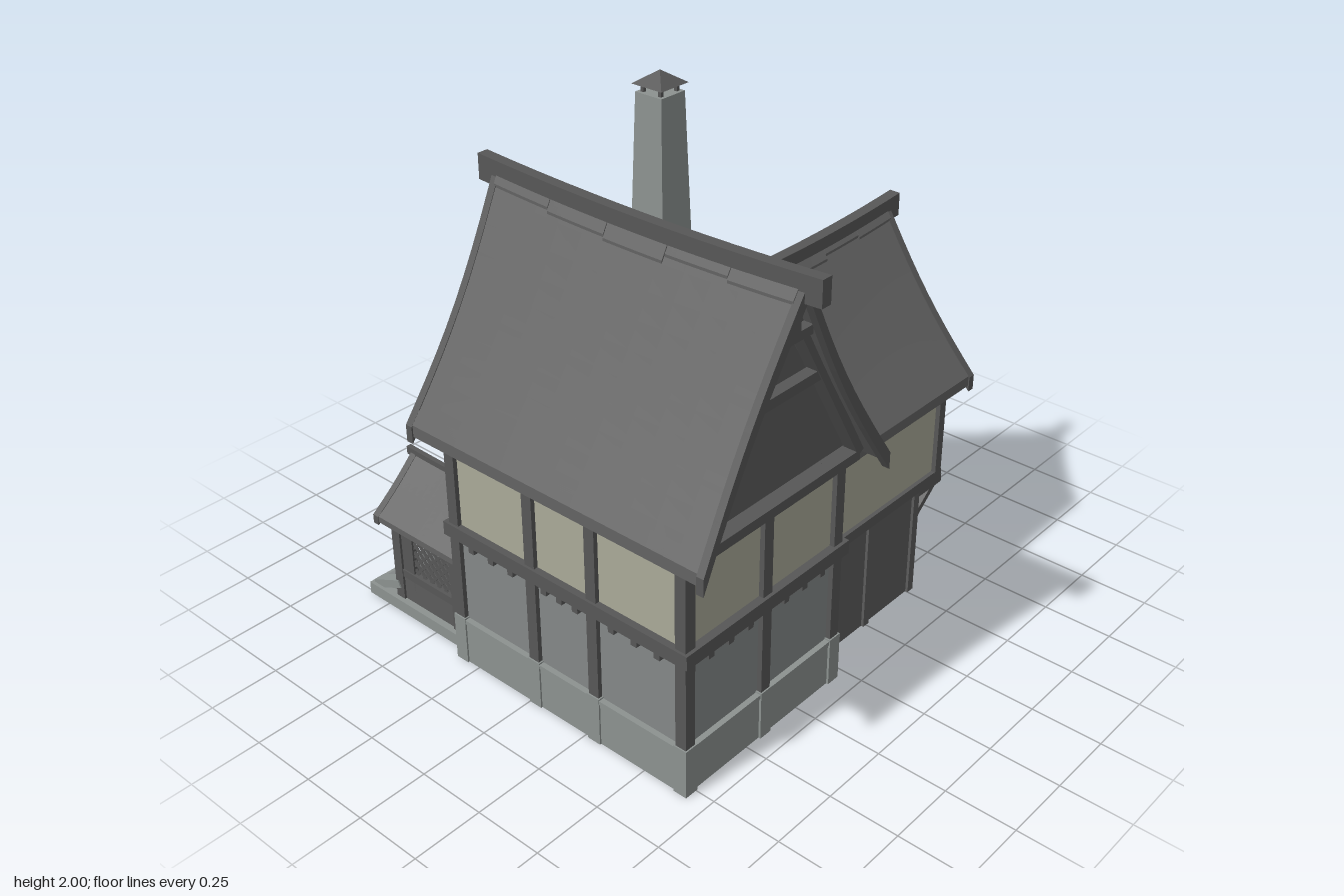
import * as THREE from 'three';

const flat = (name, color) => Object.assign(new THREE.MeshStandardMaterial({ color }), { name });
const M = {
  roof: flat('roof shingle', 0x636363), timber: flat('timber', 0x575757), plank: flat('plank', 0x5c5c5c),
  plaster: flat('plaster', 0xaaaa98), stone: flat('stone', 0x848888), plinth: flat('plinth stone', 0x8c9290),
  glass: flat('window glass', 0x525454),
};

function add(parent, name, geometry, material) {
  const m = new THREE.Mesh(geometry, material);
  m.name = name;
  parent.add(m);
  return m;
}
function group(parent, name, x = 0, y = 0, z = 0, turn = 0) {
  const g = new THREE.Group();
  g.name = name;
  g.position.set(x, y, z);
  g.rotation.y = turn;
  parent.add(g);
  return g;
}
// Box given by its extents
function box(parent, name, mat, x0, x1, y0, y1, z0, z1) {
  const m = add(parent, name, new THREE.BoxGeometry(x1 - x0, y1 - y0, z1 - z0), mat);
  m.position.set((x0 + x1) / 2, (y0 + y1) / 2, (z0 + z1) / 2);
  return m;
}
// Four walls of a hollow storey, open above and below
function walls(parent, name, mat, x0, x1, y0, y1, z0, z1, thick = 0.02) {
  const rect = d => [[x0 + d, -z1 + d], [x1 - d, -z1 + d], [x1 - d, -z0 - d], [x0 + d, -z0 - d]].map(p => new THREE.Vector2(...p));
  const s = new THREE.Shape(rect(0));
  s.holes.push(new THREE.Path(rect(thick)));
  const g = new THREE.ExtrudeGeometry(s, { depth: y1 - y0, bevelEnabled: false });
  add(parent, name, g.rotateX(-Math.PI / 2).translate(0, y0, 0), mat);
}
// Square bar between two points: w is its level width, d its depth
function strut(parent, name, mat, a, b, w = 0.025, d = w) {
  const A = new THREE.Vector3(...a), B = new THREE.Vector3(...b);
  const m = add(parent, name, new THREE.BoxGeometry(w, d, A.distanceTo(B)), mat);
  m.position.copy(A).lerp(B, 0.5);
  m.quaternion.setFromRotationMatrix(new THREE.Matrix4().lookAt(B, A, new THREE.Vector3(0, 1, 0)));
  return m;
}
// Triangular gable block running along x
function gable(parent, name, mat, half, y0, y1, x0, x1) {
  const s = new THREE.Shape([[-half, y0], [half, y0], [0, y1]].map(p => new THREE.Vector2(...p)));
  const g = new THREE.ExtrudeGeometry(s, { depth: x1 - x0, bevelEnabled: false });
  add(parent, name, g.rotateY(Math.PI / 2).translate(x0, 0, 0), mat);
}
// Sagging pitched roof with its ridge along x
function roof(parent, name, x, z, o) {
  const g = group(parent, name, x, 0, z);
  const slab = (side, part, mat, u0, u1, t0, t1, w0, w1) => {
    const geo = new THREE.BoxGeometry(1, 1, 1, 12, 1, 10), p = geo.attributes.position;
    for (let i = 0; i < p.count; i++) {
      const u = u0 + (u1 - u0) * (p.getX(i) + 0.5), w = w0 + (w1 - w0) * (p.getY(i) + 0.5);
      const t = t0 + (t1 - t0) * (p.getZ(i) + 0.5), bow = Math.sin(Math.PI * t);
      p.setXYZ(i, u * (o.half - o.pinch * bow),
        o.ridge + o.sag * u * u * (1 - t) - (o.ridge - o.eave) * t - o.pinch * bow + o.thick * (w - 1), o.width * t);
    }
    geo.computeVertexNormals();
    add(side, part, geo, mat);
  };
  for (const turn of [0, Math.PI]) {
    const side = group(g, 'roofSide', 0, 0, 0, turn), e = 0.025 / o.half;
    slab(side, 'roofSlope', M.roof, -0.995, 0.995, 0, 1, 0, 1);
    slab(side, 'eaveCourse', M.roof, -0.97, 0.97, 0.94, 1.005, 0.05, 1.1);
    for (const s of [-1, 1]) slab(side, 'bargeBoard', M.timber, s > 0 ? 1 - e : -1.003, s > 0 ? 1.003 : e - 1, 0, 1.015, -0.4, 1.12);
    for (let i = 0; i < o.caps; i++) {
      const u = -0.97 + 1.94 * i / o.caps;
      slab(side, 'ridgeShingle', M.roof, u, u + 1.92 / o.caps, 0, 0.075 + 0.012 * ((i * 7) % 3), 0.9, 1.25);
    }
  }
  // ridge beam
  const geo = new THREE.BoxGeometry(2, o.beam, o.beamWidth, 12, 1, 1), p = geo.attributes.position;
  for (let i = 0; i < p.count; i++) {
    const u = p.getX(i);
    p.setXYZ(i, u * (o.half + o.over), p.getY(i) + o.ridge - o.drop + o.sag * u * u, p.getZ(i));
  }
  geo.computeVertexNormals();
  add(g, 'ridgeBeam', geo, M.timber);
}
// Framed window facing local +z, centred on the origin
function window_(parent, name, x, y, z, turn, w, h, cols, rows) {
  const g = group(parent, name, x, y, z, turn), a = w / 2, b = h / 2, f = 0.018;
  box(g, 'glass', M.glass, -a, a, -b, b, 0, 0.008);
  for (const s of [-1, 1]) {
    box(g, 'frameSide', M.timber, s * a - f / 2, s * a + f / 2, -b, b, 0, 0.025);
    box(g, 'frameRail', M.timber, -a - f, a + f, s * b - f / 2, s * b + f / 2, 0, 0.03);
  }
  for (let i = 1; i < cols; i++) box(g, 'mullion', M.timber, -a + w * i / cols - 0.004, -a + w * i / cols + 0.004, -b, b, 0, 0.016);
  for (let i = 1; i < rows; i++) box(g, 'glazingBar', M.timber, -a, a, -b + h * i / rows - 0.003, -b + h * i / rows + 0.003, 0, 0.014);
}

function mainHouse(root) {
  const g = group(root, 'mainHouse');
  walls(g, 'plinth', M.plinth, -0.335, 0.67, 0, 0.17, 0.035, 0.79);
  walls(g, 'plinthCap', M.plinth, -0.34, 0.675, 0.16, 0.175, 0.03, 0.795, 0.03);
  walls(g, 'stoneWall', M.stone, -0.325, 0.655, 0.17, 0.5, 0.045, 0.775);
  box(g, 'plasterWall', M.plaster, -0.335, 0.655, 0.54, 0.88, 0.045, 0.775);
  box(g, 'floorBeam', M.timber, -0.365, 0.685, 0.495, 0.545, 0.02, 0.8);
  box(g, 'wallPlate', M.timber, -0.35, 0.675, 0.86, 0.9, 0.03, 0.79);
  gable(group(g, 'attic', 0, 0, 0.41), 'atticGable', M.plank, 0.4, 0.87, 1.53, -0.335, 0.66);
  // posts, piers and corbels
  const xs = [-0.325, 0.025, 0.29, 0.652], zs = [0.062, 0.415, 0.77];
  const post = (x, z) => {
    box(g, 'upperPost', M.timber, x - 0.021, x + 0.021, 0.54, 0.87, z - 0.021, z + 0.021);
    box(g, 'lowerPost', M.timber, x - 0.021, x + 0.021, 0.17, 0.5, z - 0.021, z + 0.021);
    box(g, 'pier', M.plinth, x - 0.026, x + 0.026, 0, 0.18, z - 0.026, z + 0.026);
  };
  for (const x of xs) for (const z of [zs[0], zs[2]]) post(x, z);
  for (const x of [xs[0], xs[3]]) post(x, zs[1]);
  const between = (list, fn) => {
    for (let i = 0; i + 1 < list.length; i++)
      for (const k of [-0.09, 0, 0.09]) fn((list[i] + list[i + 1]) / 2 + k * (list[i + 1] - list[i]) / 0.35);
  };
  between(xs, x => box(g, 'corbel', M.timber, x - 0.012, x + 0.012, 0.472, 0.5, 0.77, 0.797));
  between(zs, z => box(g, 'corbel', M.timber, 0.65, 0.68, 0.472, 0.5, z - 0.012, z + 0.012));
  roof(g, 'mainRoof', 0.168, 0.41, { half: 0.617, width: 0.43, ridge: 1.625, eave: 0.9, sag: 0.02, pinch: 0.02, thick: 0.04, beam: 0.088, beamWidth: 0.04, drop: 0.019, over: 0.058, caps: 5 });
  // gable framing on both ends
  for (const [x, s] of [[0.69, 1], [-0.365, -1]]) {
    for (const k of [-1, 1]) strut(g, 'gableRafter', M.timber, [x, 0.89, 0.41 + k * 0.385], [x, 1.54, 0.41 + k * 0.015], 0.05, 0.03);
    box(g, 'gableTie', M.timber, x - 0.025, x + 0.025, 0.865, 0.9, 0.03, 0.79);
    box(g, 'collarBeam', M.timber, x - 0.02, x + 0.02, 1.235, 1.27, 0.23, 0.59);
    box(g, 'upperCollar', M.timber, x + s * 0.04 - 0.02, x + s * 0.04 + 0.02, 1.44, 1.47, 0.34, 0.48);
    box(g, 'kingPost', M.timber, x + s * 0.04 - 0.02, x + s * 0.04 + 0.02, 1.46, 1.59, 0.395, 0.425);
  }
  // windows on the left-hand wall
  const L = -Math.PI / 2;
  window_(g, 'gableWindow', -0.338, 1.06, 0.41, L, 0.15, 0.24, 3, 4);
  for (const z of [0.235, 0.595]) {
    window_(g, 'upperWindow', -0.338, 0.65, z, L, 0.21, 0.18, 4, 3);
    strut(g, 'windowCanopy', M.timber, [-0.33, 0.83, z], [-0.45, 0.805, z], 0.27, 0.016);
    for (const k of [-0.11, 0.11]) strut(g, 'canopyBracket', M.timber, [-0.35, 0.75, z + k], [-0.42, 0.81, z + k], 0.015);
    box(g, 'windowSill', M.timber, -0.365, -0.33, 0.56, 0.6, z - 0.13, z + 0.13);
  }
  // arched window
  const a = group(g, 'archedWindow', -0.326, 0.16, 0.22, L);
  const arch = (r, h) => new THREE.Shape().moveTo(-r, 0).lineTo(r, 0).lineTo(r, h).absarc(0, h, r, 0, Math.PI).lineTo(-r, 0);
  const ring = arch(0.1, 0.16);
  ring.holes.push(arch(0.075, 0.16));
  add(a, 'archSurround', new THREE.ExtrudeGeometry(ring, { depth: 0.025, bevelEnabled: false }), M.plinth);
  add(a, 'archGlass', new THREE.ExtrudeGeometry(arch(0.076, 0.16), { depth: 0.006, bevelEnabled: false }), M.glass);
  for (const x of [-0.025, 0.025]) box(a, 'mullion', M.timber, x - 0.004, x + 0.004, 0, 0.225, 0, 0.014);
  for (const y of [0.06, 0.12, 0.18]) box(a, 'glazingBar', M.timber, -0.073, 0.073, y - 0.003, y + 0.003, 0, 0.012);
}

function rearWing(root) {
  const g = group(root, 'rearWing');
  walls(g, 'plankWall', M.plank, -0.085, 0.575, 0, 0.42, -0.525, 0.05);
  box(g, 'plasterWall', M.plaster, -0.085, 0.575, 0.45, 0.8, -0.63, 0.05);
  box(g, 'jettyBeam', M.timber, -0.1, 0.59, 0.415, 0.455, -0.65, 0.04);
  for (const x of [-0.085, 0.575]) {
    for (const z of [-0.515, -0.25]) box(g, 'batten', M.plank, x - 0.01, x + 0.01, 0, 0.42, z - 0.015, z + 0.015);
    box(g, 'cornerPost', M.timber, x - 0.017, x + 0.017, 0.45, 0.82, -0.643, -0.61);
  }
  for (const x of [-0.075, 0.14, 0.35, 0.565]) {
    box(g, 'jettyJoist', M.timber, x - 0.018, x + 0.018, 0.39, 0.42, -0.665, -0.5);
    strut(g, 'jettyBracket', M.timber, [x, 0.31, -0.525], [x, 0.4, -0.635], 0.028, 0.022);
  }
  // roof and gable, running toward the back
  const w = group(g, 'wingTop', 0.245, 0, 0, Math.PI / 2);
  gable(w, 'wingGable', M.plaster, 0.36, 0.79, 1.24, -0.1, 0.63);
  roof(w, 'wingRoof', 0.26, 0, { half: 0.465, width: 0.39, ridge: 1.32, eave: 0.817, sag: 0.02, pinch: 0.014, thick: 0.036, beam: 0.082, beamWidth: 0.04, drop: 0.016, over: 0.045, caps: 5 });
  for (const k of [-1, 1]) strut(w, 'gableRafter', M.timber, [0.645, 0.8, k * 0.35], [0.645, 1.25, k * 0.01], 0.04, 0.03);
  box(w, 'gableTie', M.timber, 0.62, 0.655, 0.78, 0.815, -0.35, 0.35);
  box(w, 'collarBeam', M.timber, 0.62, 0.66, 1.03, 1.06, -0.17, 0.17);
  box(w, 'kingPost', M.timber, 0.62, 0.655, 1.04, 1.26, -0.015, 0.015);
  // bay window
  const b = group(g, 'bayWindow', 0.3, 0, 0);
  box(b, 'bayWall', M.plaster, -0.125, 0.125, 0.47, 0.81, -0.785, -0.62);
  box(b, 'baySill', M.timber, -0.145, 0.145, 0.455, 0.49, -0.805, -0.62);
  for (const s of [-1, 1]) {
    box(b, 'bayPost', M.timber, s * 0.125 - 0.016, s * 0.125 + 0.016, 0.47, 0.805, -0.8, -0.768);
    strut(b, 'bayRafter', M.timber, [s * 0.142, 0.885, -0.63], [s * 0.142, 0.783, -0.845], 0.036, 0.04);
  }
  box(b, 'bayLintel', M.timber, -0.13, 0.13, 0.77, 0.8, -0.8, -0.77);
  strut(b, 'bayRoof', M.roof, [0, 0.89, -0.62], [0, 0.787, -0.838], 0.28, 0.03);
  window_(b, 'bayGlazing', 0, 0.63, -0.786, Math.PI, 0.13, 0.25, 2, 4);
  window_(g, 'wingSideWindow', -0.086, 0.62, -0.26, -Math.PI / 2, 0.46, 0.26, 6, 3);
  // open lean-to
  const l = group(g, 'leanTo');
  strut(l, 'leanToRoof', M.roof, [-0.08, 0.5, -0.265], [-0.335, 0.4, -0.265], 0.55, 0.025);
  for (const z of [-0.51, -0.275, -0.04]) {
    box(l, 'leanToPost', M.timber, -0.325, -0.295, 0, 0.4, z - 0.015, z + 0.015);
    strut(l, 'leanToBrace', M.timber, [-0.31, 0.28, z], [-0.22, 0.41, z], 0.02);
  }
  for (const z of [-0.51, -0.39, -0.255, -0.13, -0.04]) strut(l, 'leanToRafter', M.timber, [-0.09, 0.475, z], [-0.345, 0.376, z], 0.022);
  box(l, 'leanToBeam', M.timber, -0.325, -0.295, 0.355, 0.385, -0.535, 0);
  for (const [z, k] of [[-0.44, -0.065], [-0.345, 0.065], [-0.205, -0.065], [-0.11, 0.065]])
    strut(l, 'postBrace', M.timber, [-0.31, 0.28, z + k], [-0.31, 0.36, z], 0.018);
}

function porch(root) {
  const g = group(root, 'porch', 0, 0, 0.585);
  walls(g, 'porchBase', M.plinth, -0.85, -0.32, 0, 0.045, -0.175, 0.175, 0.04);
  box(g, 'porchFloor', M.plank, -0.72, -0.32, 0.04, 0.1, -0.14, 0.14);
  box(g, 'step', M.stone, -0.77, -0.71, 0.03, 0.085, -0.14, 0.14);
  box(g, 'lowerStep', M.stone, -0.82, -0.76, 0.03, 0.062, -0.14, 0.14);
  for (const s of [-1, 1]) {
    const z = s * 0.14;
    strut(g, 'stepKerb', M.plinth, [-0.835, 0.04, z], [-0.7, 0.1, z], 0.045, 0.03);
    for (const x of [-0.7, -0.405]) box(g, 'porchPost', M.timber, x - 0.02, x + 0.02, 0.04, 0.37, z - 0.018, z + 0.018);
    box(g, 'porchPlaster', M.plaster, -0.39, -0.33, 0.045, 0.37, z - 0.012, z + 0.012);
    box(g, 'lowerPanel', M.plank, -0.69, -0.41, 0.045, 0.145, z - 0.01, z + 0.01);
    box(g, 'panelRail', M.timber, -0.69, -0.41, 0.14, 0.17, z - 0.015, z + 0.015);
    box(g, 'topRail', M.timber, -0.69, -0.41, 0.32, 0.375, z - 0.015, z + 0.015);
    box(g, 'panelSide', M.timber, -0.69, -0.625, 0.05, 0.33, z - 0.01, z + 0.01);
    // diagonal lattice
    const W = 0.205, H = 0.15, x0 = -0.627;
    for (let c = 0.018; c < W + H; c += 0.0365) {
      const a = Math.max(0, c - H), b = Math.min(W, c);
      strut(g, 'lattice', M.timber, [x0 + a, 0.17 + c - a, z], [x0 + b, 0.17 + c - b, z], 0.008, 0.009);
      strut(g, 'lattice', M.timber, [x0 + W - a, 0.17 + c - a, z], [x0 + W - b, 0.17 + c - b, z], 0.008, 0.009);
    }
    strut(g, 'entranceBrace', M.timber, [-0.7, 0.28, s * 0.125], [-0.7, 0.36, s * 0.06], 0.02);
  }
  box(g, 'entranceBeam', M.timber, -0.72, -0.68, 0.35, 0.38, -0.16, 0.16);
  gable(g, 'porchGable', M.plank, 0.16, 0.365, 0.515, -0.715, -0.69);
  box(g, 'door', M.plank, -0.35, -0.33, 0.1, 0.36, -0.09, 0.09);
  roof(g, 'porchRoof', -0.55, 0, { half: 0.215, width: 0.19, ridge: 0.545, eave: 0.38, sag: 0.004, pinch: 0.003, thick: 0.022, beam: 0.03, beamWidth: 0.018, drop: 0.003, over: 0.02, caps: 0 });
}

function chimney(root) {
  const g = group(root, 'chimney', 0.035, 0, 0.18);
  box(g, 'stackBase', M.stone, -0.085, 0.085, 0.85, 1.41, -0.07, 0.07);
  const taper = (name, mat, r0, r1, y0, y1) => {
    const geo = new THREE.CylinderGeometry(r1 * Math.SQRT2, r0 * Math.SQRT2, y1 - y0, 4, 1).toNonIndexed();
    geo.rotateY(Math.PI / 4).translate(0, (y0 + y1) / 2, 0).computeVertexNormals();
    return add(g, name, geo, mat);
  };
  box(g, 'shoulder', M.plinth, -0.104, 0.104, 1.408, 1.455, -0.083, 0.083);
  taper('shoulderTop', M.plinth, 0.083, 0.076, 1.455, 1.466).scale.x = 1.25;
  taper('stack', M.plinth, 0.066, 0.052, 1.45, 1.935);
  for (const x of [-1, 1]) for (const z of [-1, 1])
    box(g, 'capLeg', M.timber, x * 0.035 - 0.006, x * 0.035 + 0.006, 1.93, 1.97, z * 0.035 - 0.006, z * 0.035 + 0.006);
  taper('cap', M.timber, 0.06, 0.002, 1.96, 2.0);
}

export function createModel() {
  const root = new THREE.Group();
  root.name = 'timberHouse';
  mainHouse(root);
  rearWing(root);
  porch(root);
  chimney(root);
  return root;
}
